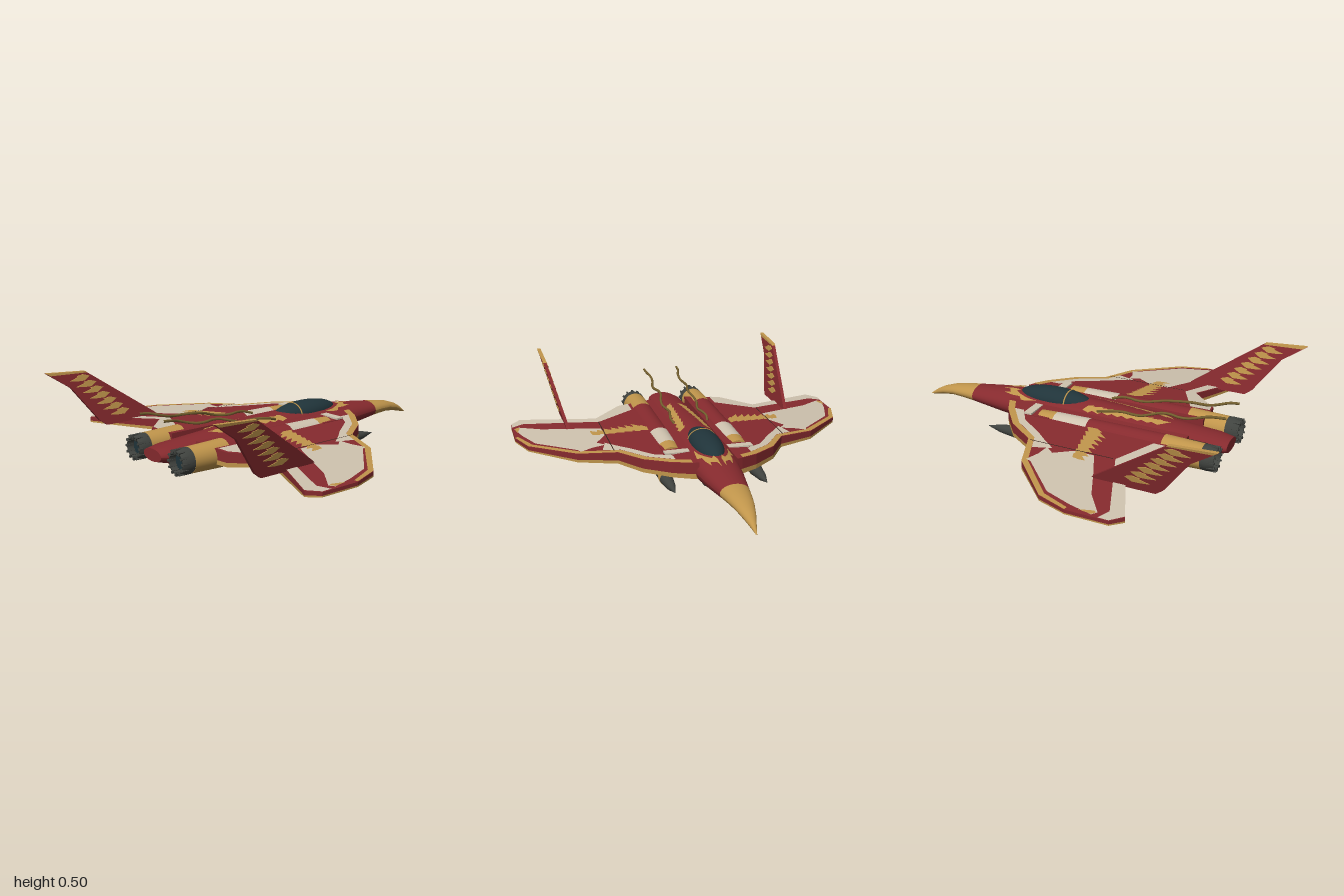
import * as THREE from 'three';

const mat = (name, color, side = THREE.FrontSide) => {
  const m = new THREE.MeshStandardMaterial({ color, side });
  m.name = name;
  return m;
};
const red = mat('crimson', 0x862a2e);
const gold = mat('gold', 0xc0954b);
const cream = mat('cream', 0xcfc3af);
const dark = mat('gunmetal', 0x40433f);
const glass = mat('glass', 0x20343a);
const bronze = mat('bronze', 0x75602f);
const line = mat('seam', 0x33231d);

const add = (parent, name, geometry, material) => {
  const m = new THREE.Mesh(geometry, material);
  m.name = name;
  parent.add(m);
  return m;
};
const V = (x, y, z) => new THREE.Vector3(x, y, z);
const lerp = THREE.MathUtils.lerp;

// Moves every vertex by a rule, then rebuilds the normals
function warp(geo, rule) {
  const p = geo.attributes.position, v = V(0, 0, 0);
  for (let i = 0; i < p.count; i++) {
    v.fromBufferAttribute(p, i);
    rule(v);
    p.setXYZ(i, v.x, v.y, v.z);
  }
  geo.computeVertexNormals();
  return geo;
}
// Shape drawn on the ground plan, points given as [x, z]
const plan = (pts) => new THREE.Shape(pts.map(([x, z]) => new THREE.Vector2(x, -z)));
const decal = (pts, height) =>
  warp(new THREE.ShapeGeometry(plan(pts)).rotateX(-Math.PI / 2), (v) => { v.y = height(v.x, v.z); });
// Barbed feather from (x, z), pointing along an angle
function feather(x, z, len, wid, angle) {
  const c = Math.cos(angle), s = Math.sin(angle);
  return [[0, 0], [0.3, 0.5], [0.62, 0.42], [0.56, 0.25], [1, 0], [0.68, -0.3], [0.3, -0.5]]
    .map(([a, b]) => [x + a * len * c - b * wid * s, z + a * len * s + b * wid * c]);
}
const tubeZ = (r0, r1, z0, z1, seg = 24) =>
  new THREE.CylinderGeometry(r1, r0, z1 - z0, seg).rotateX(Math.PI / 2).translate(0, 0, (z0 + z1) / 2);

// Fuselage stations: z, half width, top, bottom
const stations = [
  [-1, 0.002, 0.112, 0.108], [-0.95, 0.016, 0.15, 0.118], [-0.9, 0.031, 0.177, 0.13],
  [-0.82, 0.05, 0.203, 0.142], [-0.74, 0.064, 0.216, 0.14], [-0.67, 0.075, 0.224, 0.135],
  [-0.5, 0.103, 0.245, 0.117], [-0.38, 0.117, 0.257, 0.105], [-0.2, 0.126, 0.268, 0.094],
  [0, 0.122, 0.272, 0.087], [0.2, 0.118, 0.266, 0.09], [0.45, 0.112, 0.25, 0.104],
  [0.75, 0.1, 0.228, 0.13], [0.83, 0.074, 0.216, 0.152],
];
function loft(list, seg = 32) {
  const pos = [], idx = [];
  list.forEach(([z, w, top, bot]) => {
    for (let j = 0; j <= seg; j++) {
      const a = (j / seg) * Math.PI * 2;
      pos.push(w * Math.cos(a), (top + bot) / 2 + ((top - bot) / 2) * Math.sin(a), z);
    }
  });
  for (let i = 0; i < list.length - 1; i++) for (let j = 0; j < seg; j++) {
    const a = i * (seg + 1) + j, b = a + seg + 1;
    idx.push(a, a + 1, b, a + 1, b + 1, b);
  }
  const g = new THREE.BufferGeometry();
  g.setAttribute('position', new THREE.Float32BufferAttribute(pos, 3));
  g.setIndex(idx);
  g.computeVertexNormals();
  return g;
}
// Height of the fuselage skin
function skin(x, z) {
  let i = 0;
  while (i < stations.length - 2 && stations[i + 1][0] < z) i++;
  const [a, b] = [stations[i], stations[i + 1]], t = (z - a[0]) / (b[0] - a[0]);
  const [w, top, bot] = [1, 2, 3].map((k) => lerp(a[k], b[k], t));
  return (top + bot) / 2 + ((top - bot) / 2) * Math.sqrt(Math.max(0, 1 - (x / w) ** 2)) + 0.005;
}
const wingTop = (x) => 0.225 - 0.078 * (x - 0.28);
const onWing = (lift) => (x) => wingTop(x) + lift;

function buildWing(side) {
  const edge = [[0.1, -0.4], [0.13, -0.39], [0.22, -0.345], [0.35, -0.24], [0.45, -0.09], [0.65, -0.015],
    [0.88, 0.21], [0.935, 0.37], [0.935, 0.59], [0.88, 0.645], [0.47, 0.46], [0.31, 0.62], [0.1, 0.64]];
  const slab = (t0, t1) => warp(
    new THREE.ExtrudeGeometry(plan(edge), { depth: 1, bevelEnabled: false }).rotateX(-Math.PI / 2),
    (v) => { v.y = lerp(0.15, wingTop(v.x), lerp(t0, t1, v.y)); });
  add(side, 'wingUnderside', slab(0, 0.3), [cream, gold]);
  add(side, 'wing', slab(0.3, 1), red);
  add(side, 'wingLeadingEdge', decal([...edge.slice(1, 8), [0.917, 0.375], [0.858, 0.225], [0.635, 0.012],
    [0.43, -0.066], [0.328, -0.215], [0.2, -0.315], [0.13, -0.35]], onWing(0.003)), gold);
  add(side, 'wingRootPanel', decal([[0.2, -0.315], [0.328, -0.215], [0.43, -0.066], [0.52, -0.03], [0.49, 0.07],
    [0.43, -0.01], [0.38, -0.07], [0.29, -0.2], [0.2, -0.26]], onWing(0.004)), cream);
  add(side, 'wingOuterPanel', decal([[0.49, 0.04], [0.56, 0.03], [0.63, 0], [0.64, 0.03], [0.84, 0.23], [0.895, 0.38],
    [0.925, 0.5], [0.9, 0.52], [0.78, 0.43], [0.62, 0.36], [0.47, 0.29], [0.47, 0.18], [0.53, 0.09]],
  onWing(0.004)), cream);
  add(side, 'wingTrailingPanel', decal([[0.935, 0.535], [0.935, 0.59], [0.88, 0.645], [0.47, 0.46], [0.31, 0.61],
    [0.25, 0.62], [0.25, 0.51], [0.46, 0.4], [0.87, 0.565]], onWing(0.004)), cream);
  add(side, 'wingTipStripe', decal([[0.915, 0.43], [0.925, 0.5], [0.905, 0.515], [0.895, 0.5]], onWing(0.006)), gold);
  for (let i = 0; i < 7; i++) {
    add(side, 'wingFeather', decal(feather(0.235 + i * 0.043, 0.135 + i * 0.009, 0.16 - i * 0.011, 0.055, 1.1),
      onWing(0.007)), gold);
  }
  add(side, 'wingFold', decal([[0.464, -0.07], [0.469, -0.07], [0.469, 0.39], [0.464, 0.39]], onWing(0.008)), line);
}

function buildEngine(side) {
  const engine = new THREE.Group();
  engine.name = 'engine';
  engine.position.set(0.18, 0.182, 0);
  side.add(engine);
  // Banded casing
  [[-0.165, -0.075, gold, 0.062, 0.066], [-0.075, 0.12, cream, 0.066, 0.069], [0.12, 0.54, red, 0.069, 0.071],
    [0.54, 0.75, gold, 0.071, 0.066]].forEach(([z0, z1, m, r0, r1]) =>
    add(engine, 'engineCasing', tubeZ(r0, r1, z0, z1, 32), m));
  // Nozzle with a hollow mouth and petals
  const profile = [[0.064, 0.74], [0.067, 0.78], [0.058, 0.82], [0.05, 0.82], [0.049, 0.785]];
  add(engine, 'nozzle', new THREE.LatheGeometry(profile.map(([x, y]) => new THREE.Vector2(x, y)), 32)
    .rotateX(Math.PI / 2), dark);
  add(engine, 'nozzleCore', new THREE.CircleGeometry(0.05, 24).translate(0, 0, 0.786), glass);
  for (let i = 0; i < 12; i++) {
    const a = (i / 12) * Math.PI * 2;
    add(engine, 'nozzlePetal', new THREE.BoxGeometry(0.01, 0.02, 0.07).translate(0, 0.056, 0.79).rotateZ(a), dark);
  }
  // Intake
  add(engine, 'intake', new THREE.BoxGeometry(0.13, 0.105, 0.14).translate(-0.01, -0.003, -0.165), red);
  add(engine, 'intakeMouth', new THREE.BoxGeometry(0.1, 0.075, 0.006).translate(-0.005, -0.005, -0.237), glass);
  add(engine, 'intakeLip', new THREE.BoxGeometry(0.13, 0.009, 0.045).translate(-0.01, 0.054, -0.218), cream);
}

function buildFin(side) {
  // Outline in [z, y], leaned outward
  const fin = (pts, thick) => warp(
    new THREE.ExtrudeGeometry(new THREE.Shape(pts.map(([z, y]) => new THREE.Vector2(z, y))),
      { depth: thick, bevelEnabled: false }).translate(0, 0, -thick / 2).rotateY(-Math.PI / 2),
    (v) => { v.x += 0.645 + (v.y - 0.22) * 0.232; });
  add(side, 'tailFin', fin([[0.35, 0.19], [0.39, 0.22], [0.77, 0.485], [1, 0.5], [0.87, 0.41], [0.73, 0.22],
    [0.69, 0.19]], 0.018), red);
  add(side, 'finTopEdge', fin([[0.76, 0.478], [0.77, 0.486], [1, 0.501], [0.975, 0.485]], 0.021), gold);
  for (let i = 0; i < 7; i++) {
    const t = i / 6;
    add(side, 'finFeather', fin(feather(lerp(0.54, 0.75, t), lerp(0.255, 0.46, t), 0.125, 0.034, -0.12), 0.026), gold);
  }
}

function buildPod(side) {
  const pod = new THREE.Group();
  pod.name = 'underwingPod';
  pod.position.set(0.24, 0.117, 0);
  side.add(pod);
  add(pod, 'podBody', tubeZ(0.034, 0.034, -0.24, 0.18), dark);
  add(pod, 'podTail', tubeZ(0.034, 0.018, 0.18, 0.22), dark);
  add(pod, 'podBand', tubeZ(0.035, 0.035, -0.28, -0.24), gold);
  add(pod, 'podNose', tubeZ(0.022, 0.034, -0.38, -0.28), dark);
  add(pod, 'podTip', tubeZ(0.001, 0.022, -0.46, -0.38), dark);
  add(pod, 'podVane', new THREE.BoxGeometry(0.13, 0.004, 0.05).translate(0, 0, 0.13), dark);
  add(pod, 'podPylon', new THREE.BoxGeometry(0.016, 0.05, 0.24).translate(0, 0.04, -0.05), dark);
}

function buildMarkings(side) {
  // Spine feathers and flames ahead of the canopy
  for (let i = 0; i < 8; i++) {
    add(side, 'spineFeather', decal(feather(0.085 - i * 0.004, 0.03 + i * 0.055, 0.1, 0.04, 1.95), skin), gold);
  }
  add(side, 'noseFlame', decal([[0.012, -0.5], [0.022, -0.45], [0.05, -0.43], [0.055, -0.465], [0.07, -0.41],
    [0.075, -0.36], [0.095, -0.34], [0.088, -0.25], [0.078, -0.31], [0.06, -0.36], [0.035, -0.4], [0.02, -0.38],
    [0.01, -0.42]], skin), gold);
  // Streaming whisker
  const pts = [];
  for (let i = 0; i <= 14; i++) {
    const t = i / 14;
    pts.push(V(0.092 + 0.01 * Math.sin(i * 1.5), lerp(0.262, 0.365, t) + 0.008 * Math.sin(t * 15), lerp(0.12, 0.83, t)));
  }
  add(side, 'whisker', new THREE.TubeGeometry(new THREE.CatmullRomCurve3(pts), 60, 0.007, 6), bronze);
  add(side, 'spineSeam', decal([[0.1, 0.05], [0.104, 0.05], [0.09, 0.74], [0.086, 0.74]], skin), line);
}

export function createModel() {
  const model = new THREE.Group();
  model.name = 'jet';

  // Fuselage with a drooping beak
  const tail = stations[stations.length - 1];
  add(model, 'fuselage', loft([...stations.slice(5), tail, [0.83, 0, 0.184, 0.184]]), red);
  add(model, 'beak', loft(stations.slice(0, 6)), gold);

  // Canopy and its hoop
  add(model, 'canopy', new THREE.SphereGeometry(1, 32, 20).scale(0.08, 0.063, 0.22).translate(0, 0.241, -0.17), glass);
  add(model, 'canopyHoop', new THREE.TorusGeometry(1, 0.04, 6, 32, Math.PI)
    .scale(0.075, 0.06, 0.1).translate(0, 0.241, -0.09), gold);

  // Hooked probe under the belly
  const path = new THREE.CatmullRomCurve3([V(0, 0.105, -0.4), V(0, 0.072, -0.32), V(0, 0.015, -0.18),
    V(0, 0.009, -0.13), V(0, 0.03, -0.1)], false, 'catmullrom', 0.2);
  add(model, 'hook', new THREE.TubeGeometry(path, 24, 0.008, 8), dark);

  // Everything paired, built once and mirrored
  const left = new THREE.Group();
  left.name = 'leftSide';
  [buildWing, buildEngine, buildFin, buildPod, buildMarkings].forEach((build) => build(left));
  const right = left.clone();
  right.name = 'rightSide';
  right.scale.x = -1;
  model.add(left, right);
  return model;
}
